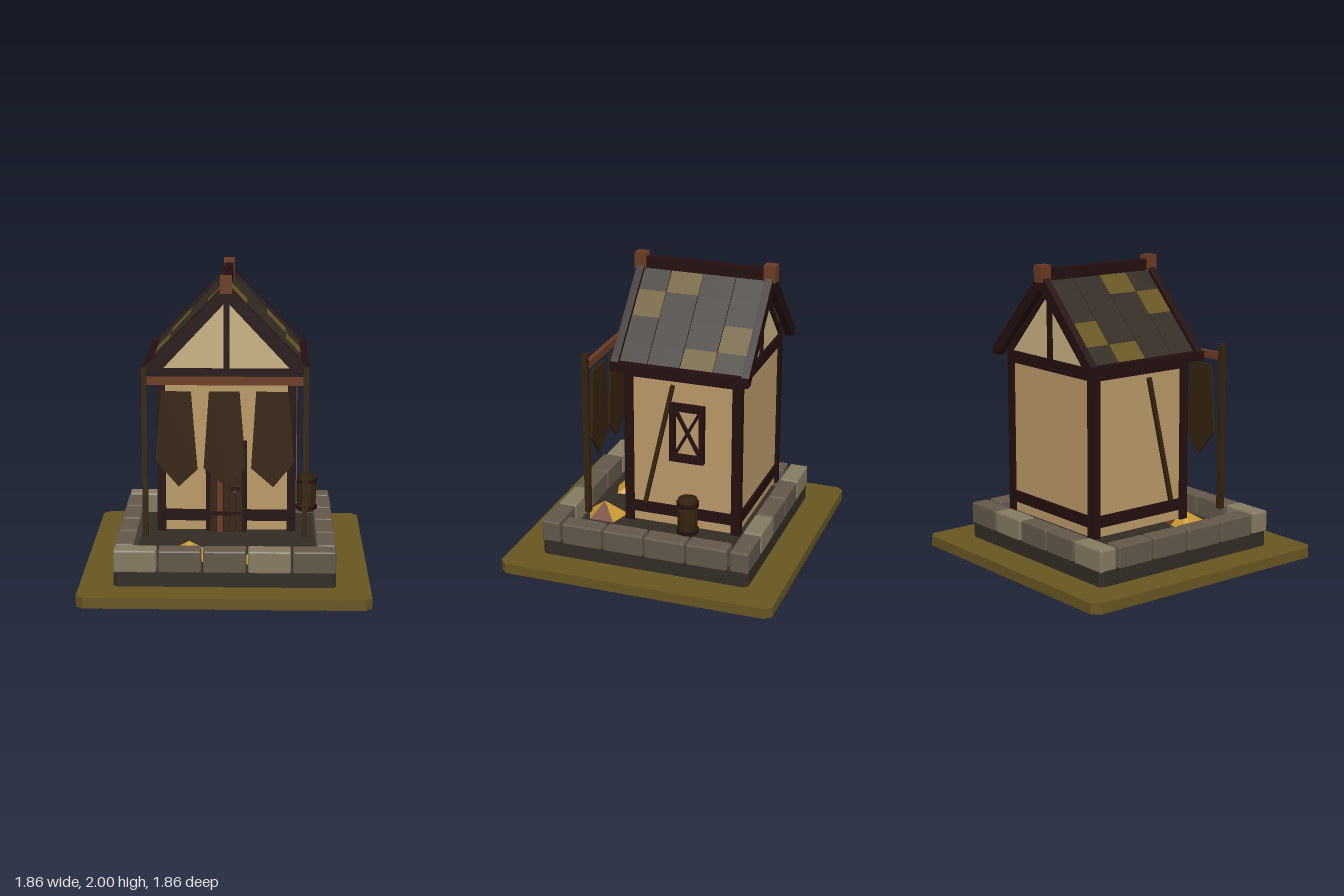
import * as THREE from 'three';
import { RoundedBoxGeometry } from 'three/addons/geometries/RoundedBoxGeometry.js';

const mat = (name, color, flatShading = true) => {
  const m = new THREE.MeshStandardMaterial({ color });
  m.name = name;
  m.flatShading = flatShading;
  return m;
};

export function createModel() {
  const olive = mat('olive', 0x685621);
  const paleStone = mat('paleStone', 0x857a62);
  const stone = mat('stone', 0x63584a);
  const earth = mat('darkEarth', 0x332c24);
  const timber = mat('darkTimber', 0x240f0f);
  const plaster = mat('plaster', 0xba9a68);
  const cream = mat('cream', 0xc9b283);
  const redWood = mat('redWood', 0x6b3a22);
  const wood = mat('darkWood', 0x35230f);
  const gold = mat('gold', 0xc8982f);

  const root = new THREE.Group();
  root.name = 'cottage';
  const add = (name, geo, material, x = 0, y = 0, z = 0) => {
    const m = new THREE.Mesh(geo, material);
    m.name = name;
    m.position.set(x, y, z);
    root.add(m);
    return m;
  };
  // box given by its limits on each axis
  const box = (name, material, x0, x1, y0, y1, z0, z1) =>
    add(name, new THREE.BoxGeometry(x1 - x0, y1 - y0, z1 - z0), material,
      (x0 + x1) / 2, (y0 + y1) / 2, (z0 + z1) / 2);
  // outline in x and y, extruded from z0 to z1
  const plate = (name, material, pts, z0, z1) => {
    const shape = new THREE.Shape(pts.map(([x, y]) => new THREE.Vector2(x, y)));
    return add(name, new THREE.ExtrudeGeometry(shape, { depth: z1 - z0, bevelEnabled: false }), material, 0, 0, z0);
  };
  // square slab with cut corners
  const slab = (name, material, r, c, y0, y1) => {
    const k = r - c;
    const m = plate(name, material, [[r, -k], [r, k], [k, r], [-k, r], [-r, k], [-r, -k], [-k, -r], [k, -r]], 0, y1 - y0);
    m.rotation.x = -Math.PI / 2;
    m.position.set(0, y0, 0);
  };

  // ground
  slab('ground', olive, 0.93, 0.045, 0, 0.07);
  slab('foundation', earth, 0.71, 0.025, 0.07, 0.172);

  // stone border
  const block = (material, w, d, x, z) =>
    add('borderStone', new RoundedBoxGeometry(w, 0.15, d, 1, 0.012), material, x, 0.235, z);
  for (const s of [-1, 1]) {
    for (let i = 0; i < 5; i++)
      block(i % 3 === 0 ? paleStone : stone, 0.275, 0.125, (i - 2) * 0.286, s * 0.65);
    for (let i = 0; i < 4; i++)
      block(stone, 0.125, 0.275, s * 0.65, (i - 1.5) * 0.287);
  }

  // house body, raised above the foundation
  const back = -0.573, front = 0.217, mid = (back + front) / 2;
  box('walls', plaster, -0.44, 0.44, 0.295, 1.36, back + 0.018, front - 0.018);
  plate('gable', cream, [[-0.44, 1.36], [0.44, 1.36], [0.43, 1.385], [0, 1.845], [-0.43, 1.385]], back + 0.02, front - 0.02);
  for (const s of [-1, 1]) {
    const x0 = s > 0 ? 0.40 : -0.457, x1 = x0 + 0.057;
    box('cornerPost', timber, x0, x1, 0.29, 1.36, front - 0.06, front);
    box('cornerPost', timber, x0, x1, 0.29, 1.36, back, back + 0.06);
    for (const [y0, y1] of [[0.36, 0.435], [1.31, 1.388]])
      box('sideBeam', timber, x0, x1 - 0.002, y0, y1, back, front);
    // leaning side brace
    const brace = box('sideBrace', wood, s * 0.455 - 0.012, s * 0.455 + 0.012, 0.428, 1.292, -0.033, -0.007);
    brace.rotation.x = -Math.atan2(0.19, 0.84);
  }
  for (const [z0, z1] of [[front - 0.05, front - 0.003], [back + 0.003, back + 0.05]]) {
    box('crossBeam', timber, -0.45, 0.45, 0.36, 0.435, z0, z1);
    box('crossBeam', timber, -0.457, 0.457, 1.31, 1.388, z0, z1);
    box('gablePost', timber, -0.02, 0.02, 1.36, 1.84, z0, z1);
  }

  // rafters: outer bargeboards and a pair flush with the gables
  for (const s of [-1, 1]) {
    const pts = [[0, 1.845], [s * 0.485, 1.355], [s * 0.535, 1.40], [s * 0.50, 1.44], [0, 1.955]];
    for (const [z0, z1] of [[0.23, 0.28], [-0.637, -0.587]]) plate('bargeboard', timber, pts, z0, z1);
    const inner = [[0, 1.83], [s * 0.43, 1.37], [s * 0.47, 1.40], [0, 1.89]];
    for (const [z0, z1] of [[0.17, 0.212], [-0.568, -0.526]]) plate('gableRafter', timber, inner, z0, z1);
    box('eaveBeam', timber, s * 0.513 - 0.025, s * 0.513 + 0.025, 1.36, 1.42, -0.637, 0.28);
  }

  // roof boards in four strips, each with one olive patch
  const slope = Math.atan(1.03), cell = 0.13 / Math.cos(slope);
  const strips = [[0.048, 0.235, 1], [-0.17, 0.043, 0], [-0.388, -0.175, 3], [-0.59, -0.393, 2]];
  for (const s of [-1, 1]) for (const [z0, z1, patch] of strips) for (let i = 0; i < 4; i++) {
    const len = i === 3 ? cell * 0.9 : cell;
    const d = i * cell + len / 2;
    const b = add('roofBoard', new THREE.BoxGeometry(len, 0.035, z1 - z0), i === patch ? olive : earth,
      s * (d * Math.cos(slope) - 0.012), 1.908 - d * Math.sin(slope), (z0 + z1) / 2);
    b.rotation.z = -s * slope;
  }
  box('ridgeBeam', timber, -0.03, 0.03, 1.9, 1.973, -0.62, 0.28);
  for (const z of [0.257, -0.615]) box('ridgeCap', redWood, -0.037, 0.037, 1.89, 2.0, z - 0.04, z + 0.04);

  // door
  for (const s of [-1, 1]) box('doorJamb', timber, s * 0.12 - 0.015, s * 0.12 + 0.015, 0.295, 0.905, 0.19, 0.245);
  box('doorLintel', timber, -0.105, 0.105, 0.86, 0.905, 0.19, 0.245);
  for (let i = 0; i < 5; i++) {
    const x = -0.105 + i * 0.042;
    box('doorPlank', i === 1 ? redWood : wood, x + 0.002, x + 0.04, 0.295, 0.865, 0.19, 0.263);
  }
  box('doorBacking', timber, -0.105, 0.105, 0.297, 0.862, 0.19, 0.25);
  for (const y of [0.425, 0.76]) box('doorStrap', timber, -0.1, 0.1, y - 0.011, y + 0.011, 0.25, 0.275);
  add('doorHandle', new THREE.TorusGeometry(0.02, 0.007, 5, 10), timber, 0.06, 0.592, 0.276);

  // side window
  const wz = -0.215, wy = 0.965;
  for (const s of [-1, 1]) {
    box('windowFrame', timber, 0.43, 0.48, 0.767, 1.164, wz + s * 0.099 - 0.016, wz + s * 0.099 + 0.016);
    box('windowFrame', timber, 0.43, 0.478, wy + s * 0.176 - 0.023, wy + s * 0.176 + 0.023, wz - 0.1, wz + 0.1);
    const bar = box('windowBar', timber, 0.43, 0.465, wy - 0.17, wy + 0.17, wz - 0.009, wz + 0.009);
    bar.rotation.x = s * Math.atan2(0.166, 0.306);
    box('windowHinge', timber, 0.475, 0.494, wy + s * 0.145 - 0.012, wy + s * 0.145 + 0.012, wz + 0.085, wz + 0.105);
  }

  // banner rack
  for (const x of [-0.517, 0.513]) box('rackPost', wood, x - 0.018, x + 0.018, 0.33, 1.445, 0.44, 0.477);
  box('rackBar', redWood, -0.5, 0.496, 1.335, 1.385, 0.443, 0.474);
  const banners = [
    [[-0.41, 1.29], [-0.45, 0.84], [-0.30, 0.665], [-0.18, 0.78], [-0.22, 1.29]],
    [[-0.105, 1.29], [-0.14, 0.79], [0, 0.668], [0.13, 0.80], [0.09, 1.29]],
    [[0.195, 1.29], [0.165, 0.79], [0.307, 0.665], [0.44, 0.83], [0.40, 1.29]],
  ];
  for (const pts of banners) plate('banner', wood, pts, 0.45, 0.468);

  // barrel
  const bx = 0.54, bz = -0.248;
  add('barrel', new THREE.LatheGeometry([[0, 0.3], [0.062, 0.3], [0.068, 0.42], [0.064, 0.55], [0.054, 0.55], [0.054, 0.53], [0, 0.53]]
    .map(([r, y]) => new THREE.Vector2(r, y)), 12), wood, bx, 0, bz);
  for (const y of [0.325, 0.515]) add('barrelHoop', new THREE.CylinderGeometry(0.075, 0.075, 0.022, 12, 1), timber, bx, y, bz);

  // straw heaps: a low fan of facets, one of them brown
  const heap = (apex, ring, brown) => {
    const pos = [];
    const g = new THREE.BufferGeometry();
    ring.forEach(([x, z], i) => {
      const [nx, nz] = ring[(i + 1) % ring.length];
      pos.push(...apex, nx, 0.172, nz, x, 0.172, z);
      g.addGroup(i * 3, 3, i === brown ? 1 : 0);
    });
    g.setAttribute('position', new THREE.Float32BufferAttribute(pos, 3));
    g.computeVertexNormals();
    add('strawHeap', g, [gold, redWood]);
  };
  heap([-0.24, 0.27, 0.375], [[-0.40, 0.32], [-0.36, 0.29], [-0.22, 0.28], [-0.08, 0.32], [-0.12, 0.40],
    [-0.10, 0.50], [-0.23, 0.54], [-0.33, 0.53], [-0.37, 0.43]], 2);
  heap([0.22, 0.27, 0.46], [[0.165, 0.315], [0.33, 0.36], [0.33, 0.53], [0.18, 0.59], [0.09, 0.50], [0.115, 0.42]], 1);

  return root;
}
